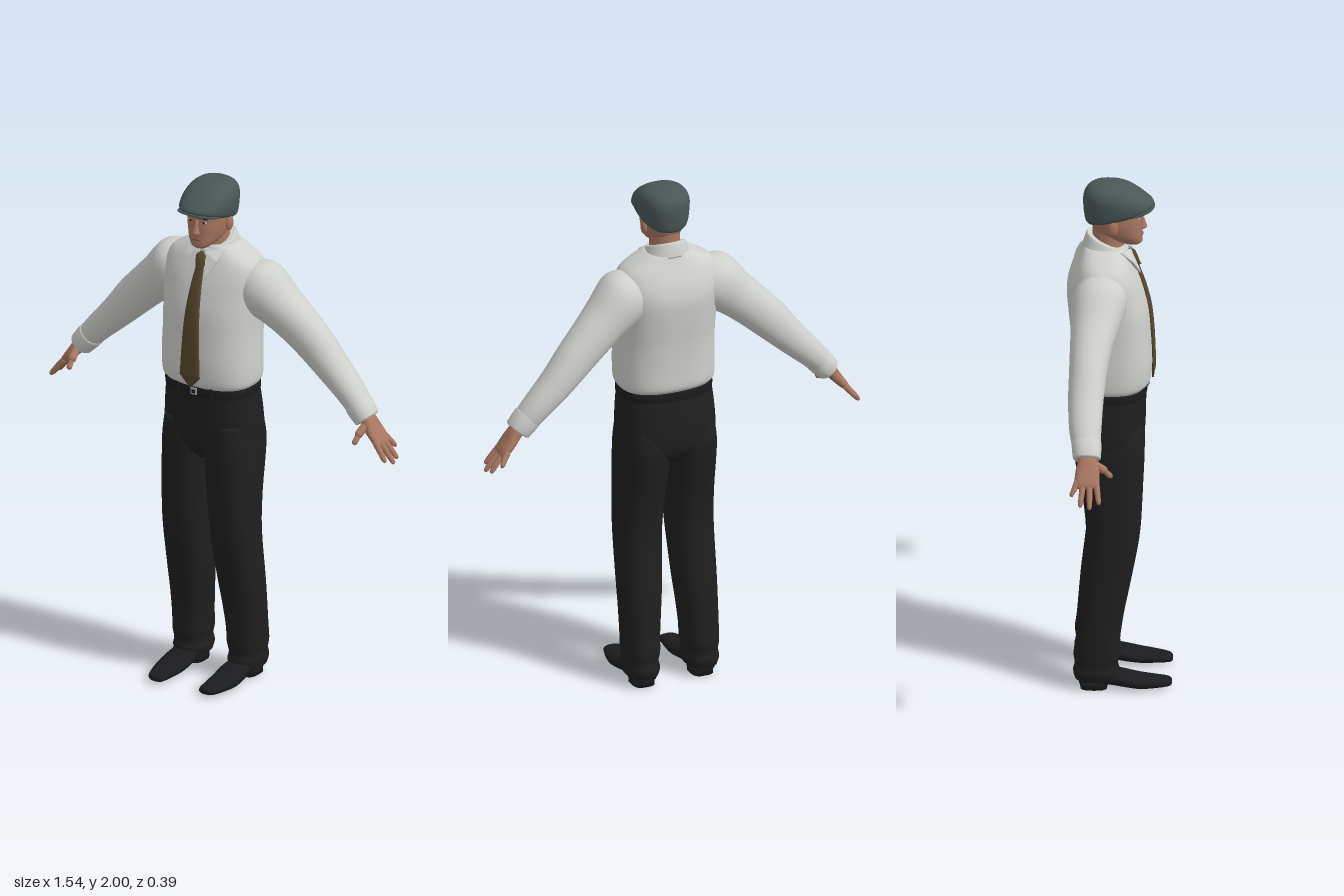
import * as THREE from 'three';
import { ConvexGeometry } from 'three/addons/geometries/ConvexGeometry.js';

const material = (name, color) => {
  const m = new THREE.MeshStandardMaterial({ color });
  m.name = name;
  return m;
};
const V = (x, y, z) => new THREE.Vector3(x, y, z);

// Smoothly fills in rows of numbers between the given key rows.
function smoothRows(rows, steps) {
  const out = [];
  const at = (i) => rows[Math.min(Math.max(i, 0), rows.length - 1)];
  for (let i = 0; i < rows.length - 1; i++) {
    for (let s = 0; s < steps; s++) {
      const t = s / steps;
      out.push(rows[i].map((b, k) => {
        const a = at(i - 1)[k], c = rows[i + 1][k], d = at(i + 2)[k];
        return b + 0.5 * t * (c - a + t * (2 * a - 5 * b + 4 * c - d + t * (3 * (b - c) + d - a)));
      }));
    }
  }
  out.push(rows[rows.length - 1]);
  return out;
}

// Closed skin over rounded cross-sections; place(row, u, v) positions a ring point.
function loft(keyRows, place, power = 2, sides = 28, steps = 4) {
  const rows = smoothRows(keyRows, steps), pos = [], index = [];
  const round = (c) => Math.sign(c) * Math.abs(c) ** (2 / power);
  for (const row of rows) {
    for (let j = 0; j < sides; j++) {
      const a = (j / sides) * Math.PI * 2;
      pos.push(...place(row, round(Math.cos(a)), round(Math.sin(a))));
    }
  }
  for (let i = 0; i < rows.length - 1; i++) {
    for (let j = 0; j < sides; j++) {
      const a = i * sides + j, b = i * sides + ((j + 1) % sides);
      index.push(a, a + sides, b, b, a + sides, b + sides);
    }
  }
  const last = (rows.length - 1) * sides, n = rows.length * sides;
  pos.push(...place(rows[0], 0, 0), ...place(rows[rows.length - 1], 0, 0));
  for (let j = 0; j < sides; j++) {
    const k = (j + 1) % sides;
    index.push(n, j, k, n + 1, last + k, last + j);
  }
  const g = new THREE.BufferGeometry();
  g.setAttribute('position', new THREE.Float32BufferAttribute(pos, 3));
  g.setIndex(index);
  g.computeVertexNormals();
  return g;
}

// Ring layouts
// [y, halfWidth, zFront, zBack, slope]: level (or tilted) ring about x = 0
const upright = ([y, w, f, b, slope = 0], u, v) => {
  const z = (f + b) / 2 + (v * (f - b)) / 2;
  return [u * w, y + slope * z, z];
};
// [y, xInner, xOuter, zFront, zBack]
const legRing = ([y, i, o, f, b], u, v) => [(i + o) / 2 + (u * (o - i)) / 2, y, (f + b) / 2 + (v * (f - b)) / 2];
// [x, y, halfThickness, z, halfDepth, tilt]
const armRing = ([x, y, h, z, d, t], u, v) => [x + u * h * Math.sin(t), y + u * h * Math.cos(t), z - v * d];
// [z, x, halfWidth, yBottom, yTop]
const shoeRing = ([z, x, w, lo, hi], u, v) => [x + v * w, (lo + hi) / 2 + (u * (hi - lo)) / 2, z];

// Copy of a geometry reflected to the other side, with its faces turned back outward.
function mirrored(g) {
  const m = g.clone().scale(-1, 1, 1), ix = m.index.array;
  for (let i = 0; i < ix.length; i += 3) [ix[i], ix[i + 1]] = [ix[i + 1], ix[i]];
  m.computeVertexNormals();
  return m;
}

const ellipsoid = (x, y, z, a, b, c) => new THREE.SphereGeometry(1, 16, 12).scale(a, b, c).translate(x, y, z);

function capsule(a, b, r) {
  const d = b.clone().sub(a), g = new THREE.CapsuleGeometry(r, d.length(), 5, 10);
  g.applyQuaternion(new THREE.Quaternion().setFromUnitVectors(V(0, 1, 0), d.normalize()));
  return g.translate((a.x + b.x) / 2, (a.y + b.y) / 2, (a.z + b.z) / 2);
}

export function createModel() {
  const model = new THREE.Group();
  model.name = 'manInFlatCap';
  const shirt = material('shirt white', 0xcfd1cd), trouser = material('trouser black', 0x1f1f20);
  const skin = material('skin', 0xa97762), capCloth = material('cap grey', 0x4a5757);
  const tieCloth = material('tie brown', 0x57462d), leather = material('leather', 0x1b1c1e);
  const metal = material('buckle metal', 0xaaaaa8), dark = material('brow brown', 0x35261f);
  const lip = material('lips', 0x8a5549), eyeWhite = material('eye white', 0xb9b2aa);

  const add = (name, g, mat) => {
    const mesh = new THREE.Mesh(g, mat);
    mesh.name = name;
    model.add(mesh);
  };
  const pair = (name, g, mat) => {
    add(name + 'Left', g, mat);
    add(name + 'Right', mirrored(g), mat);
  };

  // Shirt body, tucked into the belt
  add('shirtBody', loft([
    [1.165, 0.165, 0.09, -0.15], [1.2, 0.179, 0.103, -0.16], [1.225, 0.189, 0.12, -0.175],
    [1.3, 0.191, 0.125, -0.176], [1.4, 0.189, 0.12, -0.18], [1.5, 0.193, 0.111, -0.19],
    [1.58, 0.198, 0.092, -0.195], [1.64, 0.202, 0.072, -0.182], [1.69, 0.185, 0.05, -0.16],
    [1.722, 0.14, 0.034, -0.145], [1.752, 0.08, 0.018, -0.132],
  ], upright, 2.5, 40), shirt);

  // Sleeves and cuffs
  pair('sleeve', loft([
    [0.12, 1.605, 0.09, -0.07, 0.085, 0.3], [0.19, 1.59, 0.108, -0.07, 0.104, 0.45],
    [0.26, 1.53, 0.09, -0.083, 0.092, 0.7], [0.33, 1.467, 0.082, -0.098, 0.079, 0.8],
    [0.4, 1.4, 0.076, -0.108, 0.071, 0.84], [0.48, 1.315, 0.064, -0.115, 0.066, 0.86],
    [0.56, 1.235, 0.054, -0.115, 0.06, 0.86], [0.61, 1.18, 0.047, -0.11, 0.052, 0.86],
  ], armRing, 2.1), shirt);
  pair('cuff', loft([
    [0.592, 1.2, 0.046, -0.111, 0.052, 0.86], [0.596, 1.196, 0.051, -0.11, 0.056, 0.86],
    [0.634, 1.152, 0.047, -0.108, 0.052, 0.86], [0.637, 1.149, 0.038, -0.108, 0.043, 0.86],
  ], armRing, 2.2, 28, 2), shirt);

  // Hands
  pair('palm', loft([
    [0.615, 1.175, 0.028, -0.108, 0.034, 0.87], [0.645, 1.143, 0.025, -0.106, 0.036, 0.87],
    [0.67, 1.11, 0.021, -0.105, 0.045, 0.88], [0.698, 1.076, 0.016, -0.107, 0.046, 0.89],
    [0.71, 1.062, 0.009, -0.108, 0.04, 0.89],
  ], armRing, 2.4, 20), skin);
  // tip x, tip y, base z, tip z
  [[0.748, 1.012, -0.072, -0.062], [0.764, 0.998, -0.096, -0.096],
    [0.756, 1.005, -0.12, -0.13], [0.728, 1.035, -0.142, -0.162]].forEach(([x, y, z0, z1], i) => {
    pair('finger' + (i + 1), loft([
      [0.69, 1.085, 0.012, z0, 0.012, 0.9], [(0.69 + x) / 2, (1.087 + y) / 2, 0.0115, (z0 + z1) / 2, 0.0115, 0.9],
      [x - 0.006, y + 0.008, 0.009, z1, 0.009, 0.9], [x, y, 0.003, z1, 0.003, 0.9],
    ], armRing, 2, 10, 3), skin);
  });
  pair('thumbBase', capsule(V(0.646, 1.135, -0.085), V(0.64, 1.108, -0.046), 0.016), skin);
  pair('thumbTip', capsule(V(0.64, 1.108, -0.046), V(0.637, 1.083, -0.022), 0.011), skin);

  // Collar stand and its two points
  add('collarStand', loft([
    [1.69, 0.1, 0.045, -0.137, -0.4], [1.72, 0.085, 0.037, -0.13, -0.42],
    [1.747, 0.075, 0.033, -0.121, -0.44], [1.749, 0.068, 0.026, -0.114, -0.44],
  ], upright, 2.1), shirt);
  for (const s of [1, -1]) {
    const points = [V(s * 0.01, 1.732, 0.045), V(s * 0.078, 1.742, 0.012), V(s * 0.07, 1.705, 0.052), V(s * 0.04, 1.648, 0.084)];
    const back = points.map((p) => p.clone().add(V(0, 0, -0.007)));
    add('collarPoint', new ConvexGeometry([...points, ...back]), shirt);
  }

  // Tie blade and knot
  add('tieBlade', loft([
    [1.208, 0.003, 0.129, 0.122], [1.25, 0.042, 0.134, 0.122], [1.27, 0.043, 0.137, 0.122], [1.4, 0.037, 0.132, 0.115],
    [1.5, 0.031, 0.122, 0.104], [1.58, 0.025, 0.103, 0.084], [1.64, 0.02, 0.083, 0.064], [1.69, 0.014, 0.063, 0.044],
  ], upright, 2.6, 20), tieCloth);
  add('tieKnot', loft([
    [1.668, 0.013, 0.079, 0.045], [1.695, 0.021, 0.071, 0.035], [1.718, 0.022, 0.06, 0.025], [1.725, 0.014, 0.05, 0.025],
  ], upright, 2.5, 16), tieCloth);

  // Trousers
  add('trouserSeat', loft([
    [0.895, 0.1, 0.05, -0.12], [0.94, 0.175, 0.085, -0.162], [1.0, 0.191, 0.096, -0.175],
    [1.09, 0.188, 0.1, -0.171], [1.18, 0.179, 0.101, -0.16],
  ], upright, 2.5, 40), trouser);
  pair('trouserLeg', loft([
    [0.04, 0.062, 0.18, -0.005, -0.162], [0.07, 0.055, 0.187, 0.004, -0.17], [0.1, 0.06, 0.184, -0.002, -0.164],
    [0.14, 0.053, 0.189, 0.006, -0.168], [0.2, 0.05, 0.19, 0.006, -0.16], [0.3, 0.041, 0.191, 0.02, -0.152],
    [0.4, 0.032, 0.192, 0.04, -0.143], [0.6, 0.02, 0.192, 0.077, -0.122], [0.75, 0.01, 0.192, 0.088, -0.133],
    [0.88, 0.0, 0.192, 0.093, -0.158], [0.97, -0.003, 0.19, 0.093, -0.17], [1.05, 0.005, 0.18, 0.085, -0.155],
  ], legRing, 2.5, 28), trouser);

  // Belt, loops and buckle
  add('belt', loft([
    [1.167, 0.176, 0.099, -0.157], [1.169, 0.182, 0.106, -0.164], [1.202, 0.182, 0.106, -0.164], [1.204, 0.176, 0.099, -0.157],
  ], upright, 2.5, 40, 2), leather);
  for (const s of [1, -1]) {
    add('beltLoop', new THREE.BoxGeometry(0.012, 0.044, 0.008).translate(s * 0.075, 1.185, 0.099), trouser);
  }
  add('buckle', new THREE.BoxGeometry(0.026, 0.026, 0.006).translate(0.004, 1.186, 0.108), metal);
  add('buckleCentre', new THREE.BoxGeometry(0.014, 0.014, 0.004).translate(0.004, 1.186, 0.1105), leather);

  // Shoes with separate heels
  pair('shoe', loft([
    [-0.148, 0.12, 0.025, 0.02, 0.06], [-0.135, 0.12, 0.042, 0.016, 0.075], [-0.04, 0.12, 0.048, 0.016, 0.078],
    [0.02, 0.12, 0.056, 0.01, 0.064], [0.08, 0.121, 0.055, 0.003, 0.05], [0.14, 0.118, 0.045, 0.004, 0.042],
    [0.185, 0.113, 0.034, 0.007, 0.035], [0.198, 0.111, 0.018, 0.012, 0.026],
  ], shoeRing, 2.5, 24), leather);
  pair('heel', loft([
    [0, 0.077, 0.163, -0.042, -0.143], [0.03, 0.076, 0.164, -0.042, -0.145],
  ], legRing, 3, 24, 1), leather);

  // Neck, head and face
  add('neck', loft([[1.69, 0.062, 0.018, -0.105], [1.78, 0.057, 0.022, -0.1], [1.86, 0.058, 0.03, -0.1]], upright), skin);
  add('head', loft([
    [1.754, 0.022, 0.076, 0.03], [1.764, 0.038, 0.086, 0.0], [1.785, 0.056, 0.087, -0.05],
    [1.81, 0.067, 0.086, -0.09], [1.84, 0.074, 0.085, -0.105], [1.87, 0.077, 0.083, -0.111],
    [1.9, 0.078, 0.086, -0.112], [1.94, 0.074, 0.072, -0.105],
  ], upright, 2.3, 32), skin);
  add('nose', loft([
    [1.811, 0.009, 0.09, 0.07], [1.819, 0.016, 0.104, 0.07], [1.835, 0.011, 0.1, 0.07], [1.872, 0.008, 0.088, 0.07],
  ], upright, 2, 14), skin);
  add('mouth', ellipsoid(0, 1.793, 0.085, 0.022, 0.005, 0.005), lip);
  pair('ear', ellipsoid(0.078, 1.843, -0.022, 0.011, 0.032, 0.02), skin);
  pair('eye', ellipsoid(0.03, 1.864, 0.0765, 0.012, 0.005, 0.004), eyeWhite);
  pair('iris', ellipsoid(0.03, 1.864, 0.0795, 0.005, 0.005, 0.002), dark);
  pair('brow', ellipsoid(0.03, 1.881, 0.078, 0.018, 0.004, 0.005).rotateZ(0), dark);

  // Flat cap with a short brim
  add('capCrown', loft([
    [1.872, 0.084, 0.112, -0.12, 0.25], [1.885, 0.092, 0.128, -0.128, 0.22], [1.915, 0.096, 0.126, -0.134, 0.08],
    [1.95, 0.094, 0.1, -0.132, -0.03], [1.98, 0.077, 0.056, -0.11, -0.05],
    [1.995, 0.044, 0.015, -0.075, -0.03], [1.999, 0.008, -0.02, -0.036, -0.01],
  ], upright, 2.3, 36), capCloth);
  add('capBrim', loft([
    [1.869, 0.074, 0.122, 0, 0.25], [1.873, 0.082, 0.133, 0, 0.25], [1.88, 0.08, 0.13, 0, 0.25],
  ], upright, 2.3, 28, 2), capCloth);

  return model;
}
